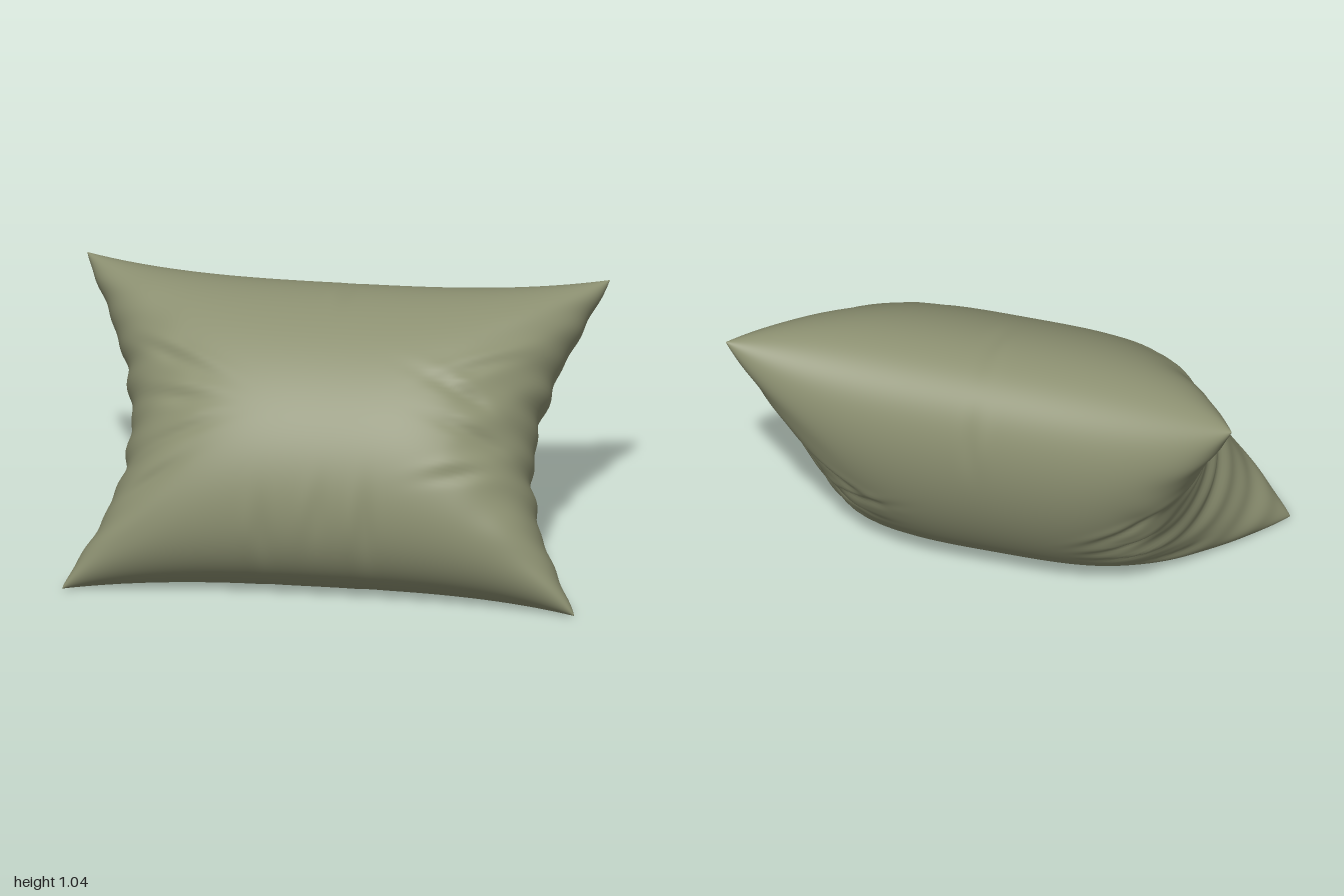
import * as THREE from 'three';
import { mergeVertices, mergeGeometries } from 'three/addons/utils/BufferGeometryUtils.js';

const fabric = new THREE.MeshStandardMaterial({ color: 0x8c9071 });
fabric.name = 'olive fabric';

// Cushion axes: x runs along the width, UP along the leaning height, OUT through the thickness
const UP = new THREE.Vector3(0, 0.768, -0.64);
const OUT = new THREE.Vector3(0, 0.64, 0.768);
const CENTRE = new THREE.Vector3(0, 0.51, -0.02);

// Creases on either face: [x, t, direction, half length, half width, depth]
const creases = [
  [0.72, 0.12, -0.5, 0.24, 0.04, 0.016], [0.8, -0.12, -0.35, 0.2, 0.04, 0.018],
  [0.76, 0.36, 0.55, 0.2, 0.04, 0.012], [0.72, -0.36, 0.4, 0.18, 0.04, 0.014],
  [-0.74, 0.3, -0.6, 0.22, 0.04, 0.014], [-0.78, 0.05, -0.2, 0.2, 0.04, 0.018],
  [-0.76, -0.22, 0.35, 0.2, 0.04, 0.016], [-0.8, -0.48, 0.6, 0.16, 0.04, 0.012],
  [0.2, -0.85, 1.5, 0.22, 0.035, 0.022], [-0.22, -0.88, 1.7, 0.18, 0.035, 0.02],
  [0.03, 0.92, 1.55, 0.14, 0.03, 0.018], [0.0, -0.75, 1.5, 0.18, 0.035, 0.01],
];

function creaseDepth(s, t) {
  let d = 0;
  for (const [cx, ct, a, len, wid, depth] of creases) {
    const dx = s - cx, dt = t - ct;
    const along = (dx * Math.cos(a) + dt * Math.sin(a)) / len;
    const across = (dt * Math.cos(a) - dx * Math.sin(a)) / wid;
    // a groove with a soft ridge beside it
    d += depth * Math.exp(-along * along) *
      (Math.exp(-across * across) - 0.5 * Math.exp(-((across - 1.8) ** 2)));
  }
  return d;
}

// One bulging face; side is +1 for the front and -1 for the back
function makeFace(side) {
  const geo = new THREE.PlaneGeometry(2, 2, 150, 110);
  const pos = geo.attributes.position;
  const p = new THREE.Vector3();
  const full = side > 0 ? 0.43 : 0.445;
  const sag = side > 0 ? 0.05 : 0.11;
  for (let i = 0; i < pos.count; i++) {
    const s = side * Math.sin(pos.getX(i) * Math.PI / 2);
    const t = Math.sin(pos.getY(i) * Math.PI / 2);
    const inT = Math.max(0, 1 - t * t);

    // side seams are drawn inward, deepest a little below the middle
    const pull = 0.22 * Math.pow(inT, 1.25) * (1 - 0.12 * t) + 0.02 * (1 - t) / 2;
    const pucker = 0.006 * (Math.sin(t * 19 + s * 2) + Math.sin(t * 31 - s)) * inT * s ** 6;
    const x = s * (1 - pull + pucker);

    // top and bottom seams are drawn inward between the corners
    const reach = t > 0 ? 0.68 : 0.655;
    const v = t * (reach - 0.08 * (1 - Math.abs(s) ** 3));

    // full bulge that sags toward the bottom and gathers at the sides
    const bulge = Math.sqrt(inT * Math.max(0, 1 - Math.abs(s) ** 3.6));
    const gather = THREE.MathUtils.smoothstep(Math.abs(s), 0.6, 0.95) * inT;
    const ripple = 0.016 * gather * Math.sin(t * 17 + 3 * Math.sin(4 * s) + side);
    const n = side * bulge * (full * (1 - sag * t) + ripple - creaseDepth(s, t));

    p.copy(CENTRE).addScaledVector(UP, v).addScaledVector(OUT, n);
    // the underside rests flat
    pos.setXYZ(i, x, Math.max(p.y, 0.003 * bulge), p.z);
  }
  geo.deleteAttribute('uv');
  geo.deleteAttribute('normal');
  return geo;
}

export function createModel() {
  const group = new THREE.Group();
  group.name = 'cushion';
  // both faces are welded along the seam
  const geo = mergeVertices(mergeGeometries([makeFace(1), makeFace(-1)]), 1e-4);
  geo.computeVertexNormals();
  const cover = new THREE.Mesh(geo, fabric);
  cover.name = 'cushionCover';
  group.add(cover);
  return group;
}
